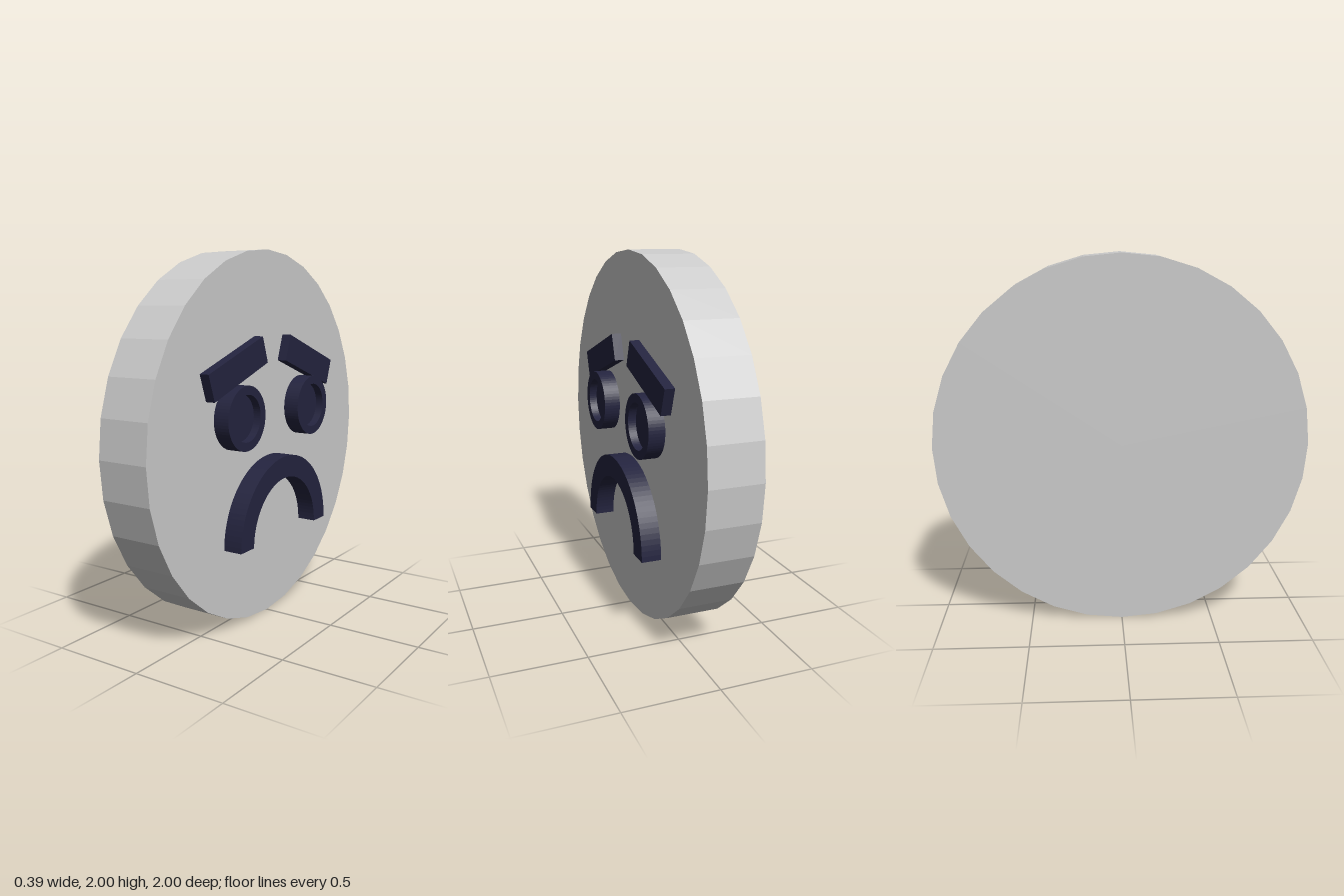
import * as THREE from 'three';

const grey = new THREE.MeshStandardMaterial({ color: 0xcccccc, flatShading: true });
const navy = new THREE.MeshStandardMaterial({ color: 0x24243f, flatShading: true });
const FACE = 0.09; // depth of the disc's face
const BACK = -0.196;

function add(parent, name, geometry, material, x, y, z) {
  const mesh = new THREE.Mesh(geometry, material);
  mesh.name = name;
  mesh.position.set(x, y, z);
  parent.add(mesh);
  return mesh;
}

function extrude(shape, depth, curveSegments) {
  return new THREE.ExtrudeGeometry(shape, { depth, curveSegments, bevelEnabled: false });
}

export function createModel() {
  const model = new THREE.Group();
  model.name = 'sadFace';

  // Built facing +z, then turned to face +x
  const face = new THREE.Group();
  face.name = 'face';
  face.rotation.y = Math.PI / 2;
  model.add(face);

  // Round plate
  const plate = new THREE.CylinderGeometry(1, 1, FACE - BACK, 32).rotateX(Math.PI / 2);
  add(face, 'plate', plate, grey, 0, 1, (FACE + BACK) / 2);

  // Eyes: raised rim around a recessed pupil
  const rim = new THREE.Shape().absarc(0, 0, 0.168, 0, Math.PI * 2, false);
  rim.holes.push(new THREE.Path().absarc(0, 0, 0.122, 0, Math.PI * 2, true));
  const rimGeometry = extrude(rim, 0.088, 32);
  const pupilGeometry = new THREE.CylinderGeometry(0.122, 0.122, 0.045, 32).rotateX(Math.PI / 2);

  // Slanted brow
  const browGeometry = new THREE.BoxGeometry(0.503, 0.147, 0.053);

  for (const side of [-1, 1]) {
    const label = side < 0 ? 'left' : 'right';
    const eye = new THREE.Group();
    eye.name = label + 'Eye';
    eye.position.set(0.012 + side * 0.335, 1.142, FACE);
    face.add(eye);
    add(eye, label + 'EyeRim', rimGeometry, navy, 0, 0, 0);
    add(eye, label + 'Pupil', pupilGeometry, navy, 0, 0, 0.0225);

    const brow = add(face, label + 'Brow', browGeometry, navy, 0.014 + side * 0.354, 1.397, FACE + 0.0265);
    brow.rotation.z = -side * 0.335;
  }

  // Down-turned mouth
  const mouth = new THREE.Shape();
  mouth.absarc(0, 0, 0.44, 0, Math.PI, false);
  mouth.absarc(0, 0, 0.32, Math.PI, 0, true);
  mouth.closePath();
  add(face, 'mouth', extrude(mouth, 0.106, 24), navy, 0.03, 0.456, FACE);

  return model;
}
